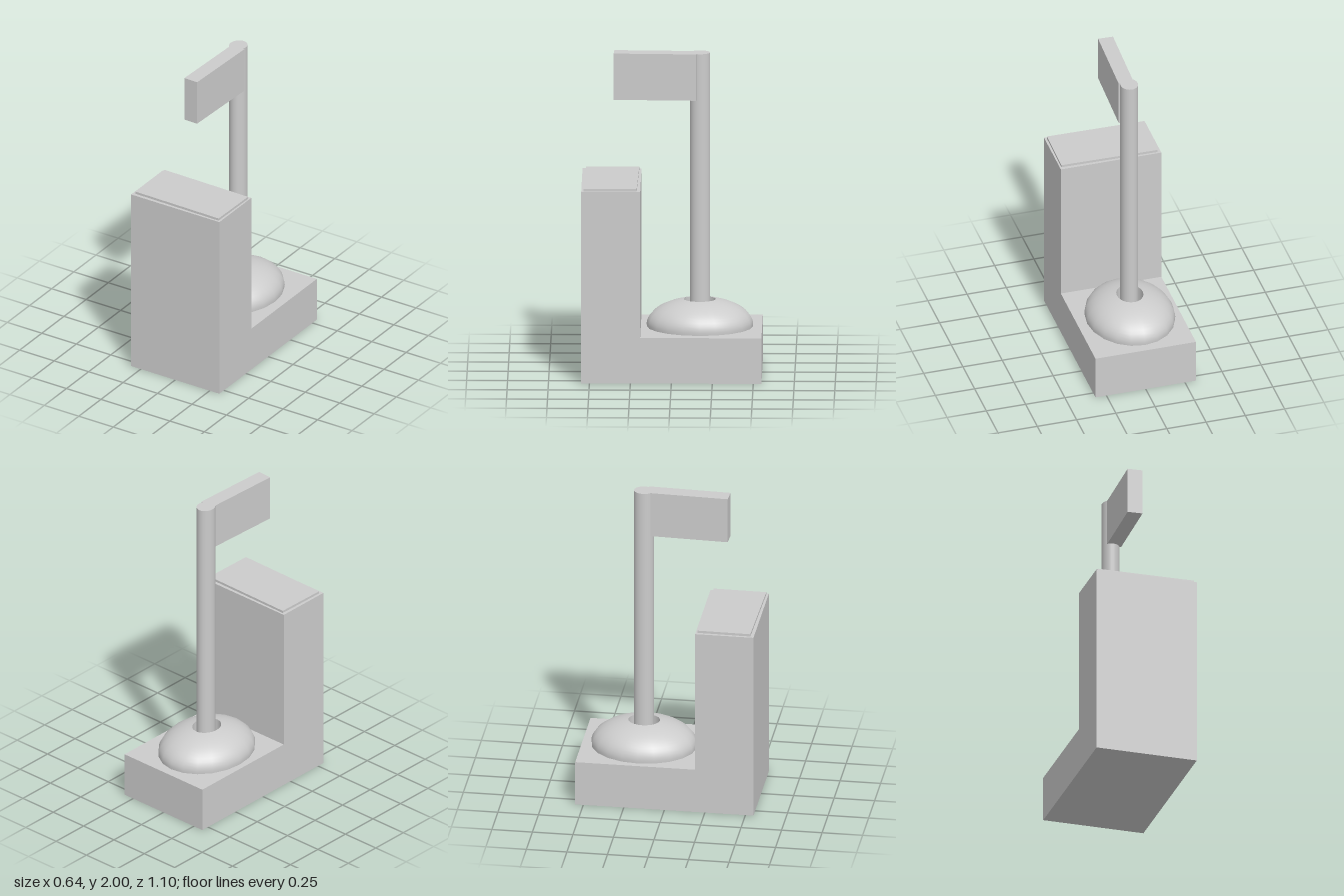
import * as THREE from 'three';

const grey = new THREE.MeshStandardMaterial({ color: 0xcccccc });
const greyDouble = new THREE.MeshStandardMaterial({ color: 0xcccccc, side: THREE.DoubleSide });

export function createModel() {
  const group = new THREE.Group();

  const add = (name, geometry, x, y, z, material = grey) => {
    const mesh = new THREE.Mesh(geometry, material);
    mesh.name = name;
    mesh.position.set(x, y, z);
    group.add(mesh);
    return mesh;
  };

  // L-shaped body: low base with a tall block at the front
  add('base', new THREE.BoxGeometry(0.64, 0.285, 1.1), 0, 0.1425, 0);
  add('frontBlock', new THREE.BoxGeometry(0.64, 0.915, 0.36), 0, 0.7425, 0.37);

  // Thin plate on the block, turned very slightly
  const plate = add('topPlate', new THREE.BoxGeometry(0.61, 0.015, 0.325), 0.003, 1.2075, 0.37);
  plate.rotation.y = -0.014;

  // Oval dome with a round opening at the top
  const rim = 0.3;
  const profile = [];
  for (let i = 0; i <= 12; i++) {
    const a = THREE.MathUtils.lerp(-0.1, Math.acos(rim), i / 12);
    profile.push(new THREE.Vector2(Math.cos(a), Math.sin(a)));
  }
  const dome = add('dome', new THREE.LatheGeometry(profile, 20), -0.012, 0.3, -0.17, greyDouble);
  dome.scale.set(0.273, 0.162, 0.325);

  // Wall of the opening, running down to the base
  const wall = add('domeOpening', new THREE.CylinderGeometry(rim, rim, 1.04, 20, 1, true),
    -0.012, 0.37, -0.17, greyDouble);
  wall.scale.copy(dome.scale);

  // Oval pole rising through the dome
  const pole = add('pole', new THREE.CylinderGeometry(1, 1, 1.715, 24), -0.007, 1.1425, -0.172);
  pole.scale.set(0.054, 1, 0.061);

  // Flag board at the pole top, pointing forward
  const flag = add('flagBoard', new THREE.BoxGeometry(0.094, 0.29, 0.505), -0.004, 1.855, 0.102);
  flag.rotation.y = -0.038;

  return group;
}
